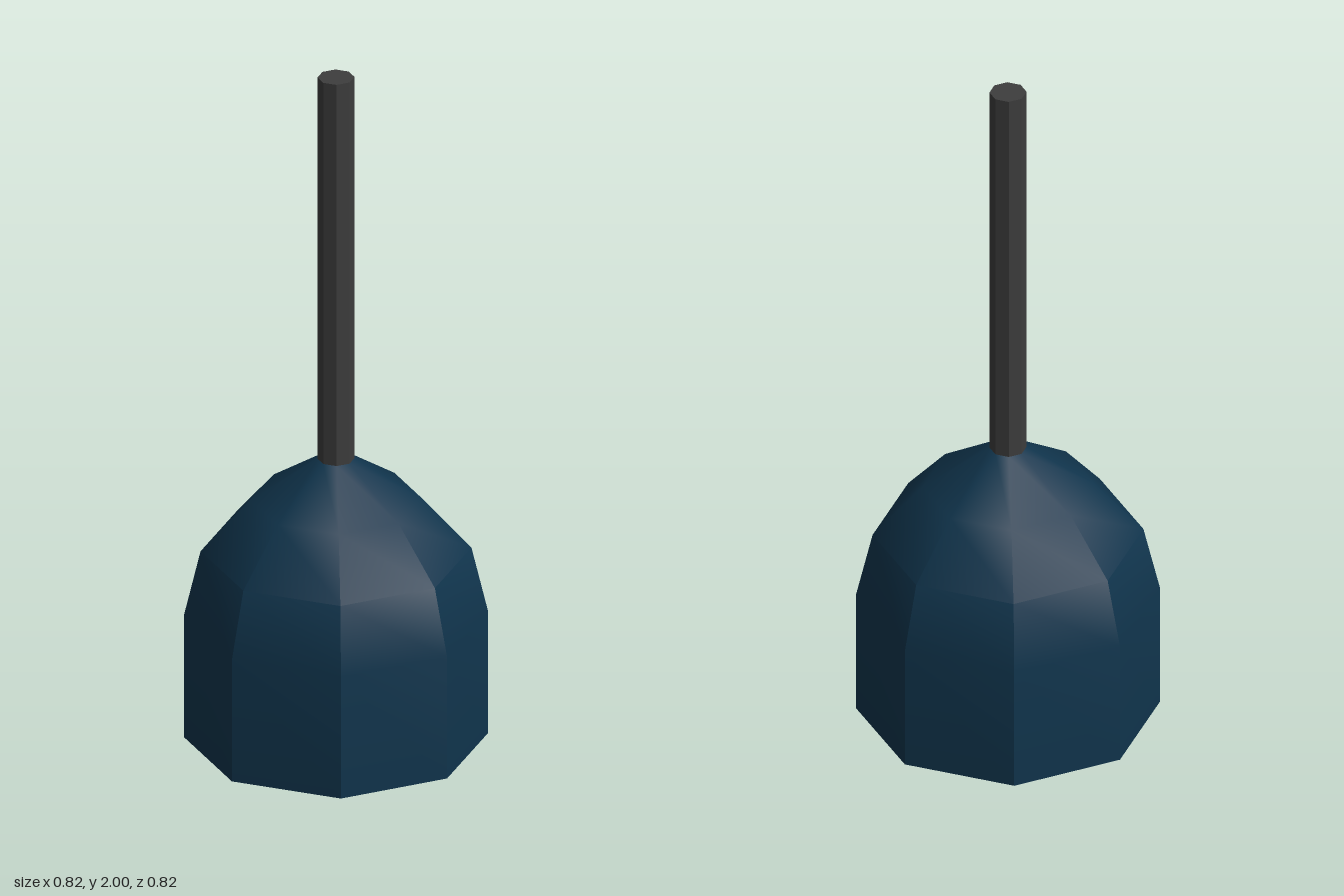
import * as THREE from 'three';
import { toCreasedNormals } from 'three/addons/utils/BufferGeometryUtils.js';

const SIDES = 8;

export function createModel() {
  const group = new THREE.Group();
  group.name = 'pendantLamp';

  const material = (name, color) => {
    const m = new THREE.MeshStandardMaterial({ color });
    m.name = name;
    return m;
  };
  const add = (name, geometry, mat, y = 0) => {
    const mesh = new THREE.Mesh(geometry, mat);
    mesh.name = name;
    mesh.position.y = y;
    group.add(mesh);
  };
  const navy = material('navy enamel', 0x10344c);
  const charcoal = material('charcoal metal', 0x3d3d3d);
  const glass = material('pale glass', 0xdddddd);

  // Thick-walled shade: down the inside, across the rim, up the outside
  const profile = [
    [0.04, 0.79], [0.18, 0.69], [0.3, 0.56], [0.34, 0.4], [0.34, 0.05],
    [0.41, 0.05], [0.41, 0.41], [0.365, 0.6], [0.23, 0.75], [0.05, 0.87],
  ].map(([r, y]) => new THREE.Vector2(r, y));
  const shade = new THREE.LatheGeometry(profile, SIDES);
  add('shade', toCreasedNormals(shade, THREE.MathUtils.degToRad(40)), navy);

  // Hanging rod, carried through the shade to the bulb
  const rodBottom = 0.31, rodTop = 2;
  const rod = new THREE.CylinderGeometry(0.05, 0.05, rodTop - rodBottom, SIDES);
  add('rod', toCreasedNormals(rod, 0.5), charcoal, (rodTop + rodBottom) / 2);

  // Faceted bulb peeping out below the rim
  const bulb = new THREE.SphereGeometry(0.165, SIDES, 8);
  add('bulb', toCreasedNormals(bulb, 0.2), glass, 0.165);

  return group;
}
